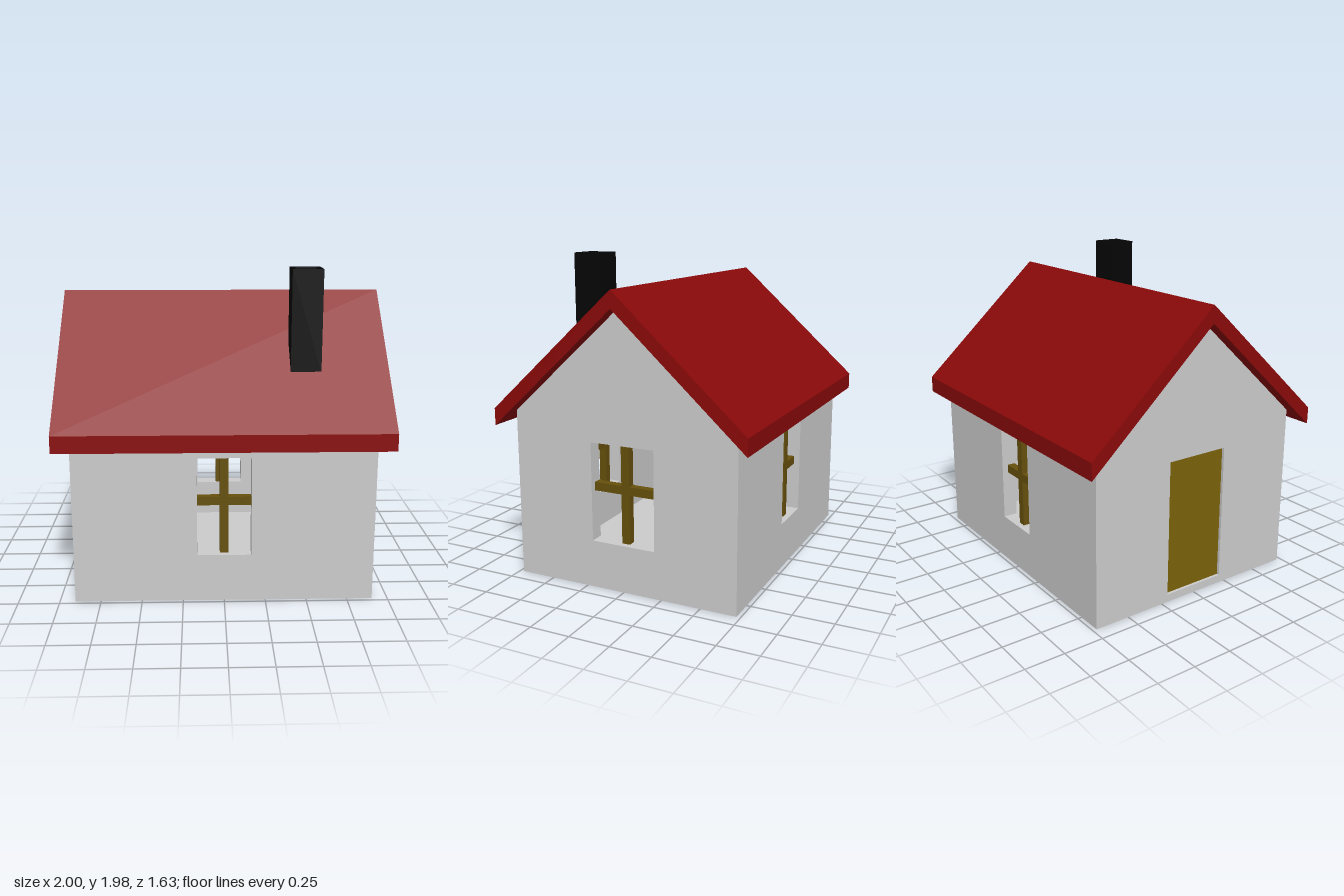
import * as THREE from 'three';

const HALF_X = 0.905, HALF_Z = 0.725, WALL = 0.09, FLOOR = 0.05;
const RIDGE = 1.81, EAVE = 1.07, EAVE_Z = 0.815, ROOF = 0.105;
const SLOPE = (RIDGE - EAVE) / EAVE_Z;
const roofTop = (z) => RIDGE - SLOPE * Math.abs(z);
const WIN_BOTTOM = 0.295, WIN_TOP = 0.905;

const mat = (color) => new THREE.MeshStandardMaterial({ color });
const grey = mat(0xcccccc), red = mat(0x8a0909), black = mat(0x050505);
const barWood = mat(0x66500c), doorWood = mat(0x7b620a);

function mesh(name, geometry, material) {
  const m = new THREE.Mesh(geometry, material);
  m.name = name;
  return m;
}

const polygon = (pts) => new THREE.Shape(pts.map(([x, y]) => new THREE.Vector2(x, y)));
const rect = (x0, y0, x1, y1) => [[x0, y0], [x1, y0], [x1, y1], [x0, y1]];
const extrude = (shape, depth) =>
  new THREE.ExtrudeGeometry(shape, { depth, bevelEnabled: false });

// Wall panel whose outer face lies on local z = 0, with one opening
function wallPanel(name, outline, halfW, bottom) {
  const shape = polygon(outline);
  shape.holes.push(polygon(rect(-halfW, bottom, halfW, WIN_TOP)));
  return mesh(name, extrude(shape, WALL).translate(0, 0, -WALL), grey);
}

// Crossed glazing bars set back inside the opening
function windowBars(halfW) {
  const g = new THREE.Group();
  g.name = 'windowBars';
  const h = WIN_TOP - WIN_BOTTOM;
  const upright = mesh('uprightBar', new THREE.BoxGeometry(0.052, h, 0.05), barWood);
  upright.position.set(0, WIN_BOTTOM + h / 2, -0.062);
  const cross = mesh('crossBar', new THREE.BoxGeometry(halfW * 2, 0.052, 0.049), barWood);
  cross.position.set(0, 0.626, -0.062);
  g.add(upright, cross);
  return g;
}

// One side of the house, turned to face outward at a given distance
function side(name, angle, distance, ...parts) {
  const g = new THREE.Group();
  g.name = name;
  g.add(...parts);
  g.rotation.y = angle;
  g.position.set(Math.sin(angle) * distance, 0, Math.cos(angle) * distance);
  return g;
}

export function createModel() {
  const house = new THREE.Group();
  house.name = 'house';

  const wallTop = roofTop(HALF_Z) - ROOF;
  const inner = HALF_X - WALL;
  const longWall = rect(-inner, 0, inner, wallTop);
  const gable = [[-HALF_Z, 0], [HALF_Z, 0], [HALF_Z, wallTop],
    [0, RIDGE - ROOF], [-HALF_Z, wallTop]];

  // Front and back walls with narrow windows
  [['front', 0], ['back', Math.PI]].forEach(([label, angle]) => {
    house.add(side(label + 'Side', angle, HALF_Z,
      wallPanel(label + 'Wall', longWall, 0.163, WIN_BOTTOM), windowBars(0.163)));
  });

  // Gable end with the wider window
  house.add(side('windowGableSide', Math.PI / 2, HALF_X,
    wallPanel('windowGable', gable, 0.207, WIN_BOTTOM), windowBars(0.207)));

  // Gable end with the door
  const door = mesh('door',
    new THREE.BoxGeometry(0.414, WIN_TOP - FLOOR, 0.05), doorWood);
  door.position.set(0, (WIN_TOP + FLOOR) / 2, -0.043);
  house.add(side('doorGableSide', -Math.PI / 2, HALF_X,
    wallPanel('doorGable', gable, 0.207, FLOOR), door));

  // Floor slab between the walls
  const floor = mesh('floor',
    new THREE.BoxGeometry(inner * 2, FLOOR, (HALF_Z - WALL) * 2), grey);
  floor.position.y = FLOOR / 2;
  house.add(floor);

  // Pitched roof slab with vertical eave edges
  const roofShape = polygon([[-EAVE_Z, EAVE - ROOF], [0, RIDGE - ROOF],
    [EAVE_Z, EAVE - ROOF], [EAVE_Z, EAVE], [0, RIDGE], [-EAVE_Z, EAVE]]);
  house.add(mesh('roof',
    extrude(roofShape, 2).translate(0, 0, -1).rotateY(Math.PI / 2), red));

  // Hollow chimney, its foot cut to the roof slope
  const ring = polygon(rect(-0.0925, -0.09, 0.0925, 0.09));
  ring.holes.push(polygon(rect(-0.067, -0.065, 0.067, 0.065)));
  const flue = extrude(ring, 1).rotateX(-Math.PI / 2).translate(0.4975, 0, 0.395);
  const p = flue.attributes.position;
  for (let i = 0; i < p.count; i++) {
    p.setY(i, p.getY(i) > 0.5 ? 1.98 : roofTop(p.getZ(i)) - 0.01);
  }
  flue.computeVertexNormals();
  house.add(mesh('chimney', flue, black));

  return house;
}
